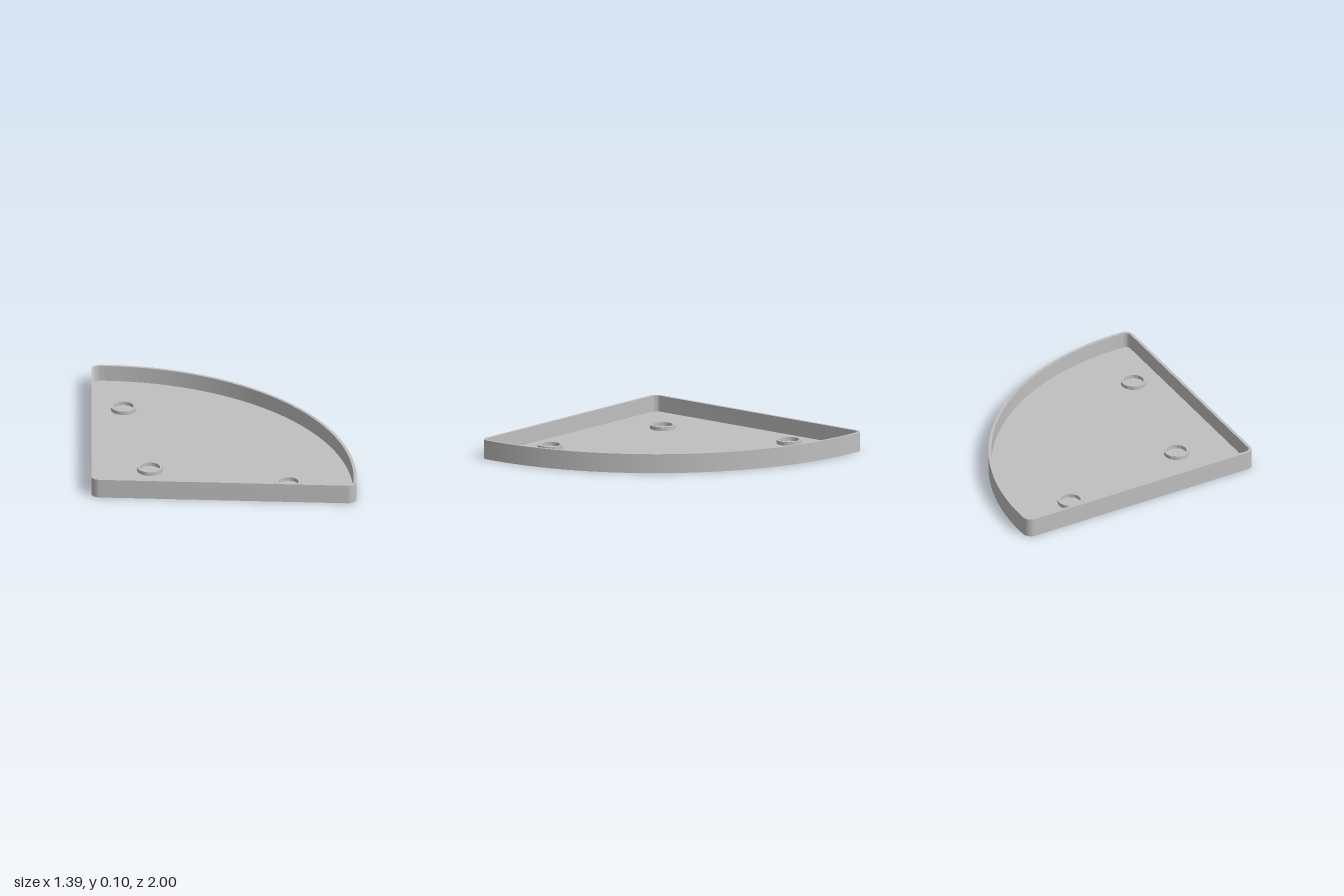
import * as THREE from 'three';
import { toCreasedNormals } from 'three/addons/utils/BufferGeometryUtils.js';

const HEIGHT = 0.103, FLOOR = 0.017;
const OUTER = 0.046, INNER = 0.03;      // corner radii outside and inside the rim
const APEX = -0.651, CORNER_X = 0.253, CORNER_Z = 0.954;
const ARC_X = -0.698;                   // centre of the big curved side

// Points along an arc, optionally without its two end points
function arc(cx, cy, r, from, to, n, skipEnds = false) {
  const pts = [];
  for (let i = skipEnds ? 1 : 0; i <= (skipEnds ? n - 1 : n); i++) {
    const t = from + (to - from) * i / n;
    pts.push(new THREE.Vector2(cx + r * Math.cos(t), cy + r * Math.sin(t)));
  }
  return pts;
}

// Rounded sector outline, grown by r from its three corner centres
function sector(r) {
  const edge = Math.atan2(CORNER_Z, CORNER_X - APEX) + Math.PI / 2;
  const side = Math.atan2(CORNER_Z, CORNER_X - ARC_X);
  const big = Math.hypot(CORNER_Z, CORNER_X - ARC_X) + r;
  return [
    ...arc(CORNER_X, -CORNER_Z, r, -edge, -side, 12),
    ...arc(ARC_X, 0, big, -side, side, 64, true),
    ...arc(CORNER_X, CORNER_Z, r, side, edge, 12),
    ...arc(APEX, 0, r, edge, 2 * Math.PI - edge, 12),
  ];
}

const circle = (r) => arc(0, 0, r, 0, Math.PI * 2, 48).slice(0, -1);

// Upright slab from an outline, with an optional hole
function slab(name, material, outline, hole, y, height) {
  const shape = new THREE.Shape(outline);
  if (hole) shape.holes.push(new THREE.Path(hole));
  const geo = new THREE.ExtrudeGeometry(shape, { depth: height, bevelEnabled: false });
  geo.rotateX(-Math.PI / 2);
  const mesh = new THREE.Mesh(toCreasedNormals(geo, 0.6), material);
  mesh.name = name;
  mesh.position.y = y;
  return mesh;
}

export function createModel() {
  const group = new THREE.Group();
  group.name = 'sectorTray';
  const grey = new THREE.MeshStandardMaterial({ color: 0xbfbfbf });
  grey.name = 'light grey';

  // Flat base and the thin wall around it
  group.add(slab('floor', grey, sector(OUTER), null, 0, FLOOR));
  group.add(slab('rim', grey, sector(OUTER), sector(INNER), FLOOR, HEIGHT - FLOOR));

  // Three low rings standing on the floor
  for (const [x, z] of [[-0.287, 0], [0.122, 0.635], [0.122, -0.635]]) {
    const ring = slab('ring', grey, circle(0.068), circle(0.053), FLOOR, 0.02);
    ring.position.x = x;
    ring.position.z = z;
    group.add(ring);
  }
  return group;
}
